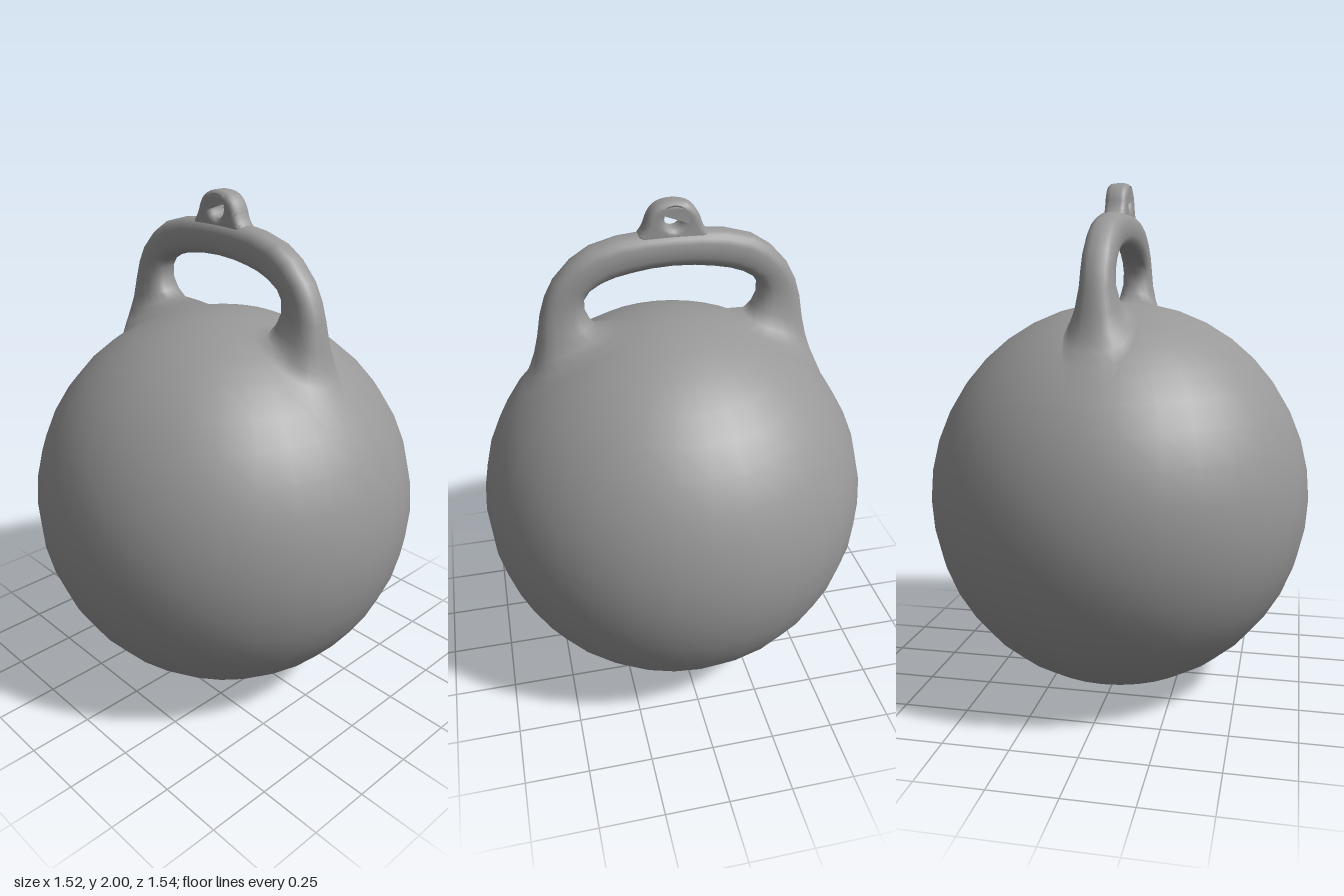
import * as THREE from 'three';
import { toCreasedNormals } from 'three/addons/utils/BufferGeometryUtils.js';

const material = new THREE.MeshStandardMaterial({ color: 0x989898 });
const BALL_RADII = new THREE.Vector3(0.76, 0.773, 0.772);
const BALL_CENTRE = new THREE.Vector3(0, 0.773, 0);

function add(group, name, geometry) {
  const mesh = new THREE.Mesh(geometry, material);
  mesh.name = name;
  group.add(mesh);
  return mesh;
}

// Half of the grip: outer z, outer y, inner z, inner y, half width
const HALF = [
  [0.65, 1.16, 0.03, 1.47, 0.11],
  [0.612, 1.25, 0.06, 1.51, 0.125],
  [0.575, 1.325, 0.12, 1.535, 0.13],
  [0.545, 1.385, 0.21, 1.538, 0.122],
  [0.525, 1.44, 0.28, 1.54, 0.1],
  [0.508, 1.51, 0.308, 1.572, 0.078],
  [0.492, 1.6, 0.326, 1.615, 0.063],
  [0.47, 1.67, 0.326, 1.66, 0.06],
  [0.435, 1.735, 0.305, 1.692, 0.06],
  [0.37, 1.805, 0.26, 1.718, 0.06],
  [0.3, 1.85, 0.21, 1.735, 0.06],
  [0.2, 1.878, 0.15, 1.747, 0.06],
  [0.1, 1.888, 0.08, 1.757, 0.06],
];
const TOP = [0, 1.89, 0, 1.761, 0.06];

// Turn the normals towards those of the ball where the feet run into it
function blendIntoBall(geometry) {
  const { position, normal } = geometry.attributes;
  const offset = new THREE.Vector3();
  const own = new THREE.Vector3();
  for (let i = 0; i < position.count; i++) {
    offset.fromBufferAttribute(position, i).sub(BALL_CENTRE).divide(BALL_RADII);
    const own01 = THREE.MathUtils.smoothstep(offset.length(), 1.0, 1.12);
    own.fromBufferAttribute(normal, i);
    offset.divide(BALL_RADII).normalize().lerp(own, own01).normalize();
    normal.setXYZ(i, offset.x, offset.y, offset.z);
  }
}

// Loft rounded cross-sections from the front foot over the top to the back foot
function handleGeometry(sides = 20) {
  const mirrored = HALF.map(([a, b, c, d, w]) => [-a, b, -c, d, w]).reverse();
  const sections = [...HALF, TOP, ...mirrored];
  const positions = [];
  const index = [];
  const soften = (v) => Math.sign(v) * Math.abs(v) ** 0.8;
  sections.forEach(([oz, oy, iz, iy, w], i) => {
    for (let j = 0; j < sides; j++) {
      const t = (j / sides) * Math.PI * 2;
      const c = soften(Math.cos(t)) / 2;
      positions.push(
        w * soften(Math.sin(t)),
        (oy + iy) / 2 + (oy - iy) * c,
        (oz + iz) / 2 + (oz - iz) * c
      );
      if (i === sections.length - 1) continue;
      const a = i * sides + j;
      const b = i * sides + ((j + 1) % sides);
      index.push(a, b, a + sides, b, b + sides, a + sides);
    }
  });
  const geometry = new THREE.BufferGeometry();
  geometry.setAttribute('position', new THREE.Float32BufferAttribute(positions, 3));
  geometry.setIndex(index);
  geometry.computeVertexNormals();
  blendIntoBall(geometry);
  return geometry;
}

// Flared eyelet with a round hole, extruded across x
function eyeletGeometry() {
  const shape = new THREE.Shape();
  shape.moveTo(-0.13, 1.86);
  shape.lineTo(0.13, 1.86);
  shape.lineTo(0.125, 1.885);
  shape.quadraticCurveTo(0.108, 1.9, 0.098, 1.935);
  shape.bezierCurveTo(0.08, 1.985, 0.045, 2, 0, 2);
  shape.bezierCurveTo(-0.045, 2, -0.08, 1.985, -0.098, 1.935);
  shape.quadraticCurveTo(-0.108, 1.9, -0.125, 1.885);
  const hole = new THREE.Path();
  hole.absarc(0, 1.935, 0.033, 0, Math.PI * 2, true);
  shape.holes.push(hole);
  const bevel = 0.022;
  const depth = 0.04;
  const geometry = new THREE.ExtrudeGeometry(shape, {
    depth,
    curveSegments: 8,
    bevelSize: bevel,
    bevelThickness: bevel,
    bevelOffset: -bevel,
    bevelSegments: 3,
  });
  geometry.translate(0, 0, -depth / 2).rotateY(Math.PI / 2);
  return toCreasedNormals(geometry, 0.9);
}

export function createModel() {
  const group = new THREE.Group();
  group.name = 'roundWeight';

  // Ball body
  const ball = add(group, 'ball', new THREE.SphereGeometry(1, 32, 20));
  ball.scale.copy(BALL_RADII);
  ball.position.copy(BALL_CENTRE);

  // Grip and the eyelet on top of it
  add(group, 'handle', handleGeometry());
  add(group, 'eyelet', eyeletGeometry());
  return group;
}
